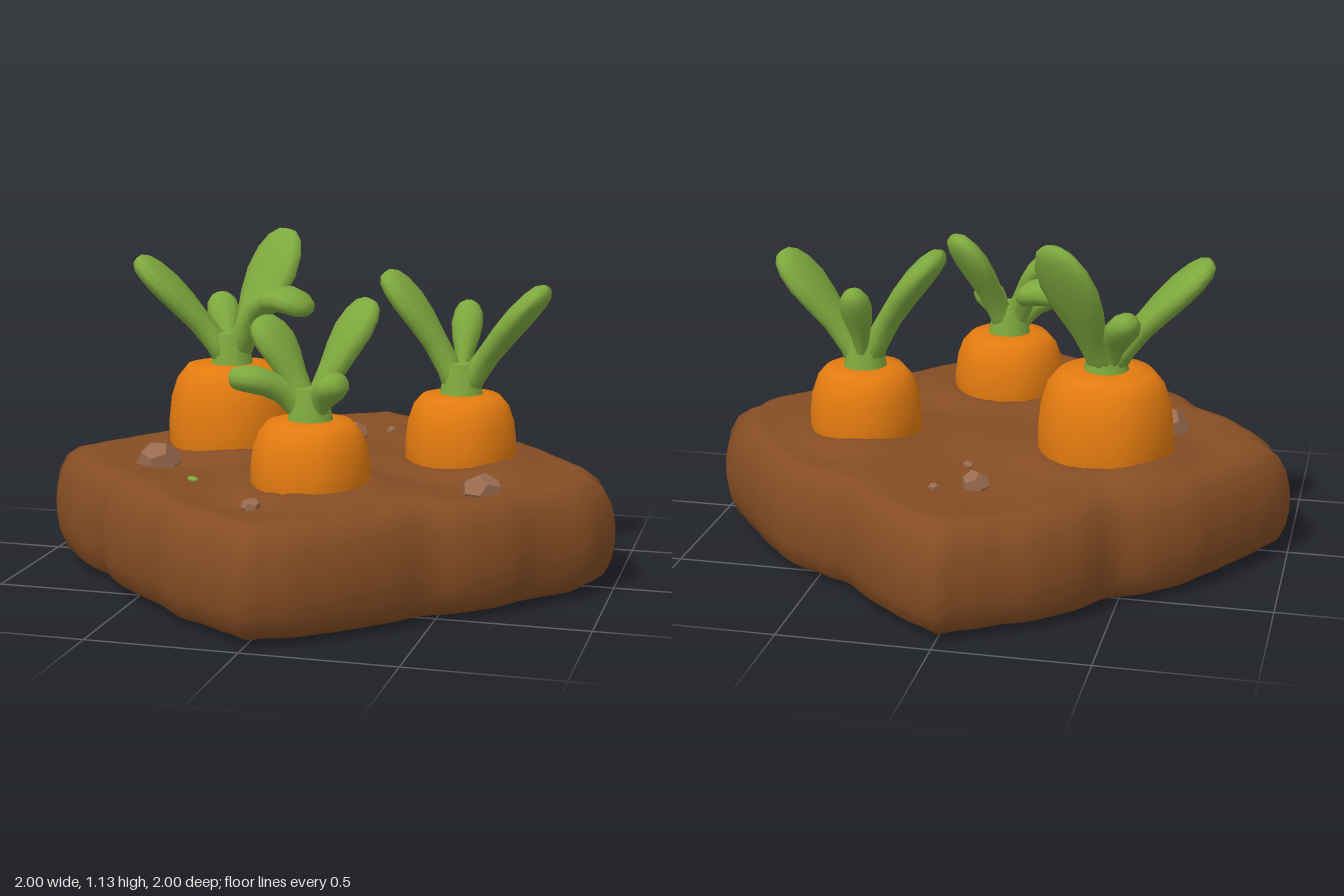
import * as THREE from 'three';

const mat = (name, color) => Object.assign(new THREE.MeshStandardMaterial({ color }), { name });

// Skin a stack of closed rings; the first and last rings shrink to points to close the ends
function loft(rings) {
  const n = rings[0].length, pos = [], idx = [];
  rings.forEach(r => r.forEach(p => pos.push(p.x, p.y, p.z)));
  for (let i = 0; i < rings.length - 1; i++)
    for (let j = 0; j < n; j++) {
      const k = (j + 1) % n, a = i * n + j, b = i * n + k, c = a + n, d = b + n;
      idx.push(a, c, b, b, c, d);
    }
  const g = new THREE.BufferGeometry();
  g.setAttribute('position', new THREE.Float32BufferAttribute(pos, 3));
  g.setIndex(idx);
  g.computeVertexNormals();
  return g;
}

const V = (x, y, z) => new THREE.Vector3(x, y, z);

// Each plant: root position, radius, top height and leaves [tip, bend height, half width]
const PLANTS = [
  { name: 'leftCarrot', x: -0.395, z: -0.18, r: 0.225, top: 0.675, leaves: [
    [V(-0.73, 1.04, -0.13), 0.86, 0.13], [V(-0.25, 1.13, -0.40), 0.82, 0.125],
    [V(-0.09, 0.87, -0.11), 1.02, 0.10], [V(-0.49, 0.89, -0.34), 0.8, 0.06]] },
  { name: 'rightCarrot', x: 0.445, z: -0.13, r: 0.19, top: 0.615, leaves: [
    [V(0.74, 0.99, -0.10), 0.80, 0.115], [V(0.17, 1.02, -0.14), 0.85, 0.12],
    [V(0.44, 0.91, -0.28), 0.78, 0.055]] },
  { name: 'frontCarrot', x: 0.055, z: 0.39, r: 0.195, top: 0.605, leaves: [
    [V(0.22, 0.98, 0.24), 0.80, 0.10], [V(-0.13, 0.92, 0.34), 0.80, 0.10],
    [V(-0.19, 0.74, 0.49), 0.76, 0.075], [V(0.18, 0.75, 0.48), 0.70, 0.06]] },
];

// Outline of the soil every 10 degrees, as a factor on a plain diamond
const LOBES = [1, 1.10, 1.10, 1.14, 1.13, 1.08, 1.10, 1.10, 1.08, 1, 1.05, 1.11, 1.10, 1.12, 1.13, 1.09, 1.12, 1.09,
  1, 1.07, 1.12, 1.16, 1.15, 1.09, 1.13, 1.12, 1.06, 1, 1.05, 1.07, 1.06, 1.12, 1.18, 1.17, 1.14, 1.11];

// Soil surface: gentle bumps with a raised collar round each carrot
function soilHeight(x, z) {
  let y = 0.372 + 0.012 * Math.sin(7 * x + 2) * Math.cos(6 * z) + 0.006 * Math.sin(13 * x - 9 * z);
  for (const p of PLANTS) {
    const d = Math.hypot(x - p.x, z - p.z) - p.r;
    y += 0.032 * Math.exp(-d * d / 0.006);
  }
  return y;
}

function soilGeometry() {
  const N = 108;
  const ring = (s, y, follow) => Array.from({ length: N }, (_, j) => {
    const t = j / N * Math.PI * 2, f = j / 3, i = Math.floor(f), u = f - i;
    const w = u * u * (3 - 2 * u);
    const n = LOBES[i] * (1 - w) + LOBES[(i + 1) % 36] * w;
    const r = s * n / (Math.abs(Math.cos(t)) + Math.abs(Math.sin(t)));
    const x = r * Math.cos(t), z = r * Math.sin(t);
    return V(x, y + follow * (soilHeight(x, z) - y), z);
  });
  const rings = [[0, 0], [0.5, 0.005], [0.88, 0.012], [0.925, 0.017], [0.965, 0.045], [0.99, 0.10], [1, 0.16],
    [1, 0.22], [0.985, 0.29], [0.955, 0.345], [0.91, 0.375]].map(([s, y]) => ring(s, y, 0));
  rings.push(ring(0.87, 0.383, 0.4));
  for (let k = 16; k >= 0; k--) rings.push(ring(k / 16 * 0.82, 0.38, 1));
  return loft(rings);
}

// Lumpy rounded carrot shoulder, with the root narrowing inside the soil
function carrotGeometry(r, top) {
  const h = top - 0.38;
  const profile = [[0, 0.12], [0.6, 0.16], [0.9, 0.30], [1, 0.38], [1, 0.38 + h * 0.3], [0.96, 0.38 + h * 0.58],
    [0.86, 0.38 + h * 0.82], [0.7, 0.38 + h * 0.97], [0.4, top], [0, top - 0.01]];
  return loft(profile.map(([s, y]) => Array.from({ length: 24 }, (_, j) => {
    const t = j / 24 * Math.PI * 2, q = s * r * (1 + 0.015 * Math.cos(6 * t));
    return V(q * Math.cos(t), y, q * Math.sin(t));
  })));
}

// Flattened leaf swept from a thin stalk to a broad rounded tip
function leafGeometry(base, tip, bend, width) {
  const lean = V(tip.x - base.x, 0, tip.z - base.z);
  const mid = V(base.x + lean.x * 0.38, bend, base.z + lean.z * 0.38);
  const curve = new THREE.QuadraticBezierCurve3(base, mid, tip);
  const side = V(0, 1, 0).cross(lean).normalize();
  // Stations: [position, width factor, half thickness]
  const stations = [[0, 0, 0], [0.01, 0.5, 0.05], [0.2, 0.42, 0.042], [0.4, 0.58, 0.04], [0.58, 0.86, 0.044],
    [0.74, 1, 0.046], [0.87, 0.9, 0.042], [0.95, 0.66, 0.034], [0.99, 0.36, 0.02], [1, 0, 0]];
  return loft(stations.map(([u, w, thick]) => {
    const c = curve.getPoint(u), normal = side.clone().cross(curve.getTangent(u));
    return Array.from({ length: 12 }, (_, j) => {
      const t = j / 12 * Math.PI * 2;
      return c.clone().addScaledVector(side, Math.cos(t) * w * width).addScaledVector(normal, Math.sin(t) * thick);
    });
  }));
}

export function createModel() {
  const model = new THREE.Group();
  model.name = 'carrotPatch';
  const soil = mat('soil brown', 0x854d24), orange = mat('carrot orange', 0xe37b10);
  const green = mat('leaf green', 0x7ea93e), stone = mat('stone brown', 0x996b4e);
  const add = (parent, name, geometry, material) => {
    const m = new THREE.Mesh(geometry, material);
    m.name = name;
    parent.add(m);
    return m;
  };

  add(model, 'soilBed', soilGeometry(), soil);

  for (const p of PLANTS) {
    const plant = new THREE.Group();
    plant.name = p.name;
    model.add(plant);
    add(plant, 'root', carrotGeometry(p.r, p.top), orange).position.set(p.x, 0, p.z);
    // Short flared stalk that the leaves grow from
    add(plant, 'stalk', new THREE.CylinderGeometry(0.055, 0.078, 0.12, 12), green)
      .position.set(p.x, p.top + 0.045, p.z);
    for (const [tip, bend, width] of p.leaves)
      add(plant, 'leaf', leafGeometry(V(p.x, p.top - 0.01, p.z), tip, bend, width), green);
  }

  // Stones: x, z, half width, half height
  const stones = [[-0.56, 0.14, 0.078, 0.07], [0.6, 0.29, 0.066, 0.06], [-0.03, -0.52, 0.046, 0.05],
    [-0.06, 0.67, 0.033, 0.03], [0.03, -0.36, 0.018, 0.015], [0.09, -0.59, 0.02, 0.015]];
  stones.forEach(([x, z, w, h], i) => {
    const m = add(model, 'stone', new THREE.DodecahedronGeometry(1), stone);
    m.scale.set(w, h, w * 1.1);
    m.rotation.y = i * 1.3;
    m.position.set(x, soilHeight(x, z) + h * 0.15, z);
  });

  // Fallen scrap of leaf
  const scrap = add(model, 'leafScrap', new THREE.SphereGeometry(1, 10, 6), green);
  scrap.scale.set(0.032, 0.008, 0.016);
  scrap.rotation.y = -0.9;
  scrap.position.set(-0.36, soilHeight(-0.36, 0.36) + 0.003, 0.36);

  return model;
}
